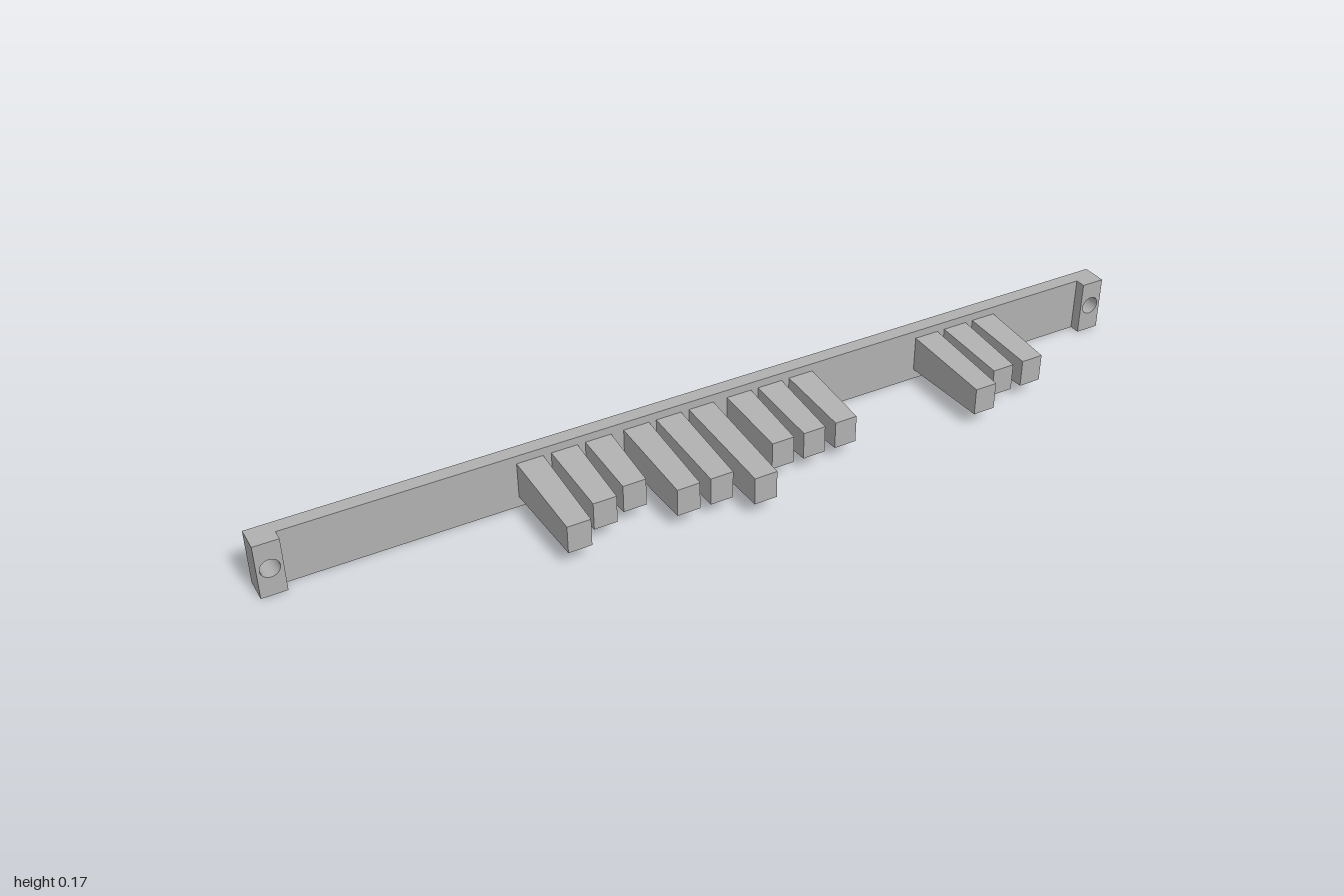
import * as THREE from 'three';

const HEIGHT = 0.17, MID = 0.087, END = 1.375;
const BACK = -0.039, FACE = 0.006, CAP_FRONT = 0.039;
const HOLE_X = 1.338, HOLE_R = 0.028;

// Upright plate from x0 to x1 and z0 to z1, with round through holes
function plate(name, material, x0, x1, z0, z1, holes) {
  const shape = new THREE.Shape();
  shape.moveTo(x0, 0).lineTo(x1, 0).lineTo(x1, HEIGHT).lineTo(x0, HEIGHT).closePath();
  for (const x of holes) {
    shape.holes.push(new THREE.Path().absarc(x, MID, HOLE_R, 0, Math.PI * 2, true));
  }
  const geometry = new THREE.ExtrudeGeometry(shape, { depth: z1 - z0, bevelEnabled: false, curveSegments: 16 });
  geometry.translate(0, 0, z0);
  const mesh = new THREE.Mesh(geometry, material);
  mesh.name = name;
  return mesh;
}

// Block that narrows slightly towards its tip
function tooth(material, x, tip) {
  const length = tip - FACE;
  const geometry = new THREE.BoxGeometry(2, 2, length);
  const p = geometry.attributes.position;
  for (let i = 0; i < p.count; i++) {
    const outer = p.getZ(i) > 0;
    p.setX(i, p.getX(i) * (outer ? 0.035 : 0.04));
    p.setY(i, p.getY(i) * (outer ? 0.043 : 0.056));
  }
  geometry.computeVertexNormals();
  const mesh = new THREE.Mesh(geometry, material);
  mesh.position.set(x, MID + 0.002, FACE + length / 2);
  mesh.name = 'tooth';
  return mesh;
}

export function createModel() {
  const group = new THREE.Group();
  group.name = 'toothedBar';
  const grey = new THREE.MeshStandardMaterial({ color: 0xb0b0b0 });
  grey.name = 'grey';

  // Long backing bar and the raised pads at its ends
  group.add(plate('bar', grey, -END, END, BACK, FACE, [-HOLE_X, HOLE_X]));
  group.add(plate('leftPad', grey, 1.301, END, FACE, CAP_FRONT, [HOLE_X]));
  group.add(plate('rightPad', grey, -END, -1.301, FACE, CAP_FRONT, [-HOLE_X]));

  // Teeth: position along the bar, reach of the tip
  const teeth = [
    [-0.588, 0.312], [-0.484, 0.255], [-0.38, 0.225],
    [-0.261, 0.312], [-0.158, 0.312], [-0.053, 0.37],
    [0.072, 0.253], [0.175, 0.253], [0.28, 0.253],
    [0.728, 0.31], [0.833, 0.254], [0.938, 0.254],
  ];
  for (const [x, tip] of teeth) group.add(tooth(grey, x, tip));

  // The bar lies along the diagonal
  group.rotation.y = Math.PI / 4;
  const model = new THREE.Group();
  model.add(group);
  return model;
}
